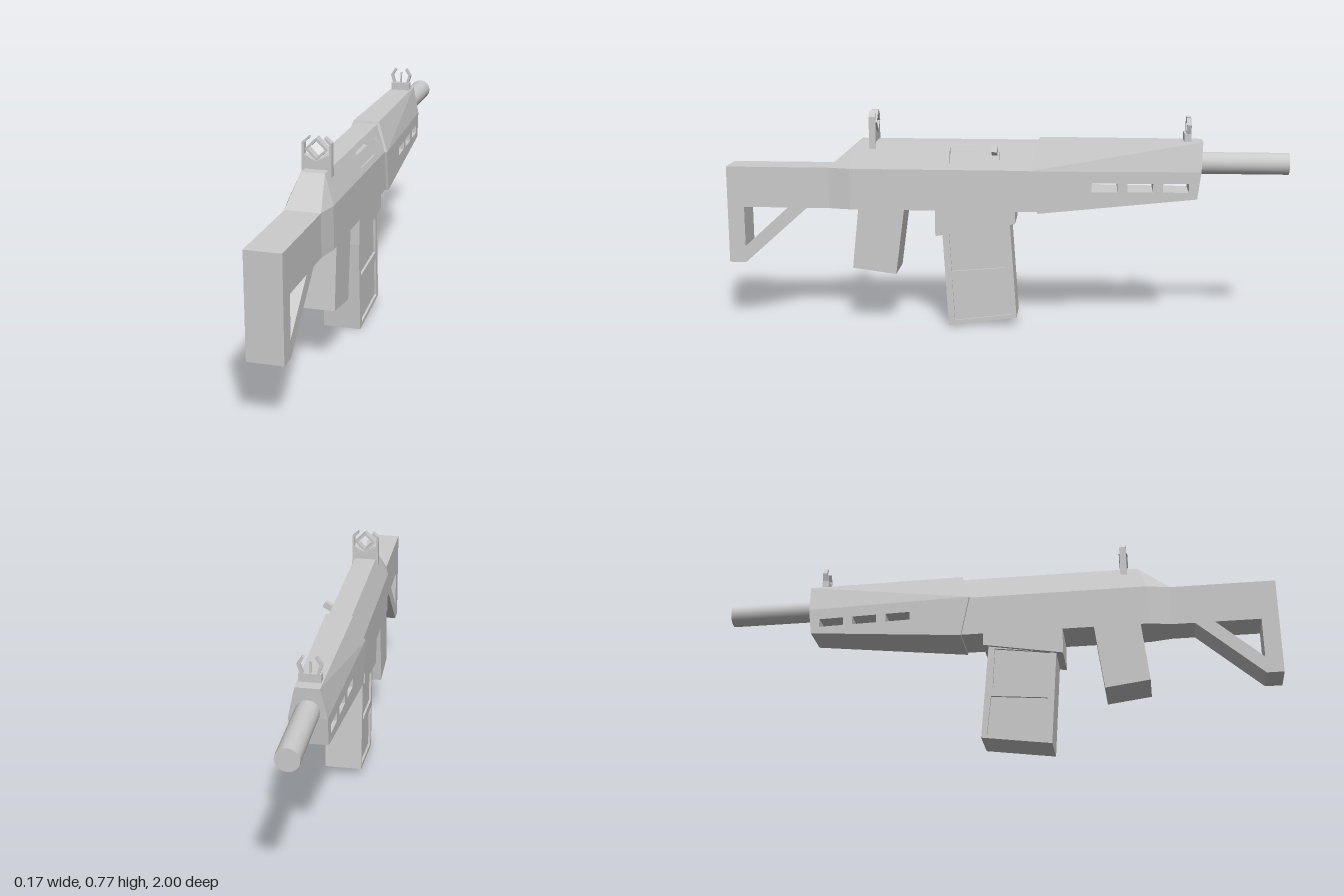
import * as THREE from 'three';

const material = new THREE.MeshStandardMaterial({ color: 0xcccccc });
const lerp = THREE.MathUtils.lerp;

function add(parent, name, geometry) {
  const mesh = new THREE.Mesh(geometry, material);
  mesh.name = name;
  parent.add(mesh);
  return mesh;
}

function makeShape(points, holes = []) {
  const vectors = (list) => list.map(([a, b]) => new THREE.Vector2(a, b));
  const shape = new THREE.Shape(vectors(points));
  shape.holes = holes.map((h) => new THREE.Path(vectors(h)));
  return shape;
}

// Side profile of [z, y] points, spread across x between left(z, y) and right(z, y)
function prism(points, right, holes = [], left = (z, y) => -right(z, y)) {
  const flip = (list) => list.map(([z, y]) => [-z, y]);
  const geo = new THREE.ExtrudeGeometry(makeShape(flip(points), holes.map(flip)), { depth: 1, bevelEnabled: false });
  geo.rotateY(Math.PI / 2);
  const p = geo.attributes.position;
  for (let i = 0; i < p.count; i++) {
    const y = p.getY(i), z = p.getZ(i);
    p.setX(i, p.getX(i) > 0.5 ? right(z, y) : left(z, y));
  }
  geo.computeVertexNormals();
  return geo;
}

// Front outline of [x, y] points, given thickness around a z position
function plate(points, z, depth, holes) {
  const geo = new THREE.ExtrudeGeometry(makeShape(points, holes), { depth, bevelEnabled: false });
  return geo.translate(0, 0, z - depth / 2);
}

const mirrorX = (points) => points.map(([x, y]) => [-x, y]).reverse();
const rect = (z0, z1, y0, y1) => [[z0, y0], [z1, y0], [z1, y1], [z0, y1]];
const diamond = (r, y) => [[0, y - r], [r, y], [0, y + r], [-r, y]];

export function createModel() {
  const model = new THREE.Group();
  model.name = 'rifle';

  // Stock with triangular opening
  add(model, 'stock', prism(
    [[1, 0.577], [0.63, 0.577], [0.63, 0.43], [0.71, 0.43], [0.94, 0.225], [1, 0.225]],
    () => 0.06, [[[0.94, 0.43], [0.94, 0.285], [0.78, 0.43]]]));

  // Receiver: straight lower body, sloped upper body, chamfered rear
  const receiver = new THREE.Group();
  receiver.name = 'receiver';
  model.add(receiver);
  const slope = (z, y) => lerp(0.077, 0.04, (y - 0.577) / 0.094);
  const upper = [[0.55, 0.577], [-0.14, 0.577], [-0.14, 0.671], [0.52, 0.671]];
  const port = rect(0.015, 0.193, 0.597, 0.652);
  add(receiver, 'lowerBody', prism(
    [[0.55, 0.43], [0.55, 0.577], [-0.14, 0.577], [-0.14, 0.43], [-0.04, 0.43],
      [-0.04, 0.385], [0.245, 0.337], [0.245, 0.43]], () => 0.077));
  add(receiver, 'upperBodyLeft', prism(upper, slope, [port], () => 0));
  add(receiver, 'upperBodyRight', prism(upper, () => 0, [], (z, y) => -slope(z, y)));
  add(receiver, 'rearChamfer', prism(rect(0.55, 0.63, 0.43, 0.577), (z) => (z > 0.6 ? 0.06 : 0.077)));
  add(receiver, 'rearSlope', prism([[0.63, 0.577], [0.55, 0.577], [0.52, 0.671]],
    (z, y) => (y > 0.6 ? 0.04 : z > 0.6 ? 0.06 : 0.077)));

  // Ejection port: cover set below the surface, deeper slot above it, tilted handle
  add(model, 'portFloor', prism(port, (z, y) => slope(z, y) - 0.02, [], () => 0));
  add(model, 'portCover', prism(rect(0.018, 0.19, 0.598, 0.638), (z, y) => slope(z, y) - 0.004, [], () => 0.01));
  const handle = add(model, 'chargingHandle', new THREE.BoxGeometry(0.044, 0.022, 0.02));
  handle.position.set(0.061, 0.643, 0.033);
  handle.rotation.z = 0.5;

  // Grip
  add(model, 'grip', prism([[0.52, 0.44], [0.545, 0.215], [0.388, 0.194], [0.355, 0.44]], () => 0.077));

  // Magazine core with side frames around two recessed panels
  const outline = [[0.224, 0.4], [0.2, 0.003], [-0.046, 0.036], [-0.02, 0.4]];
  const panels = [
    [[0.197, 0.347], [0.188, 0.205], [-0.006, 0.222], [0.001, 0.372]],
    [[0.187, 0.173], [0.178, 0.022], [-0.026, 0.048], [-0.012, 0.19]],
  ];
  add(model, 'magazineCore', prism(outline, () => 0.059));
  add(model, 'magazineFrameLeft', prism(outline, () => 0.067, panels, () => 0.05));
  add(model, 'magazineFrameRight', prism(outline, () => -0.05, panels, () => -0.067));

  // Tapered handguard with three slots passing through
  const guardWidth = (z, y) => {
    const t = (z + 0.09) / -0.6;
    return lerp(lerp(0.086, 0.062, t), lerp(0.048, 0.04, t), Math.max(0, (y - 0.577) / 0.103));
  };
  const slots = [-0.31, -0.435, -0.56].map((z) => rect(z - 0.09, z, 0.504, 0.535));
  add(model, 'handguardLower', prism(
    [[-0.09, 0.577], [-0.12, 0.425], [-0.68, 0.48], [-0.692, 0.577]], guardWidth, slots));
  add(model, 'handguardUpper', prism(
    [[-0.09, 0.577], [-0.692, 0.577], [-0.697, 0.68], [-0.122, 0.68]], guardWidth));

  // Barrel
  const barrel = add(model, 'barrel', new THREE.CylinderGeometry(0.039, 0.039, 0.33, 16));
  barrel.rotation.x = Math.PI / 2;
  barrel.position.set(0, 0.6, -0.835);

  // Rear sight: bracket with hooked ears around a diamond aperture
  const ear = [[0.05, 0.63], [0.05, 0.759], [0.028, 0.778], [0.026, 0.77], [0.042, 0.755], [0.042, 0.718]];
  add(model, 'rearSightBracket', plate([...ear, [0, 0.697], ...mirrorX(ear)], 0.469, 0.024));
  add(model, 'rearSightAperture', plate(diamond(0.039, 0.738), 0.469, 0.03, [diamond(0.028, 0.738)]));

  // Front sight: base, angled ears and centre post
  add(model, 'frontSightBase', plate([[-0.036, 0.67], [0.036, 0.67], [0.036, 0.708], [-0.036, 0.708]], -0.643, 0.024));
  const hook = [[0.02, 0.704], [0.03, 0.704], [0.041, 0.738], [0.024, 0.765], [0.017, 0.76], [0.031, 0.738]];
  add(model, 'frontSightEarLeft', plate(hook, -0.647, 0.016));
  add(model, 'frontSightEarRight', plate(mirrorX(hook), -0.647, 0.016));
  add(model, 'frontSightPost', new THREE.BoxGeometry(0.006, 0.044, 0.008)).position.set(0, 0.726, -0.647);

  return model;
}
